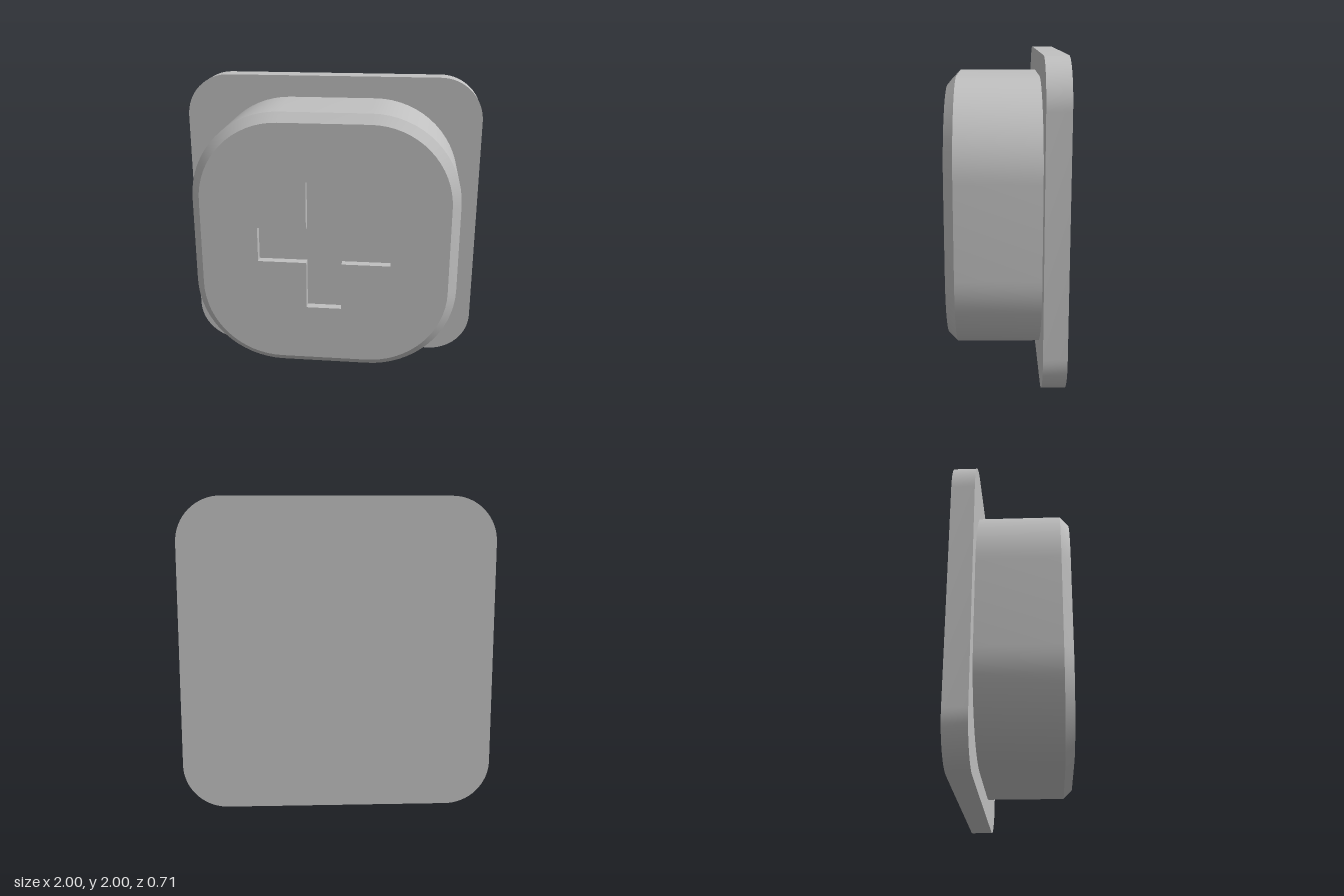
import * as THREE from 'three';
import { toCreasedNormals } from 'three/addons/utils/BufferGeometryUtils.js';

// Counter-clockwise rounded square outline
function roundedSquare(half, radius, steps = 16) {
  const pts = [];
  const c = half - radius;
  for (let k = 0; k < 4; k++) {
    const mid = (k + 0.5) * Math.PI / 2;
    const cx = Math.sign(Math.cos(mid)) * c, cy = Math.sign(Math.sin(mid)) * c;
    for (let i = 0; i <= steps; i++) {
      const a = (k + i / steps) * Math.PI / 2;
      pts.push(new THREE.Vector2(cx + radius * Math.cos(a), cy + radius * Math.sin(a)));
    }
  }
  return pts;
}

// Counter-clockwise cross outline
function cross(l, w) {
  return [[l, -w], [l, w], [w, w], [w, l], [-w, l], [-w, w], [-l, w], [-l, -w],
    [-w, -w], [-w, -l], [w, -l], [w, -w]].map(([x, y]) => new THREE.Vector2(x, y));
}

// Walls joining a list of [outline, z] sections
function loft(sections) {
  const pos = [];
  for (let s = 0; s < sections.length - 1; s++) {
    const [p, z0] = sections[s], [q, z1] = sections[s + 1];
    for (let i = 0; i < p.length; i++) {
      const j = (i + 1) % p.length;
      const a = [p[i].x, p[i].y, z0], b = [p[j].x, p[j].y, z0];
      const c = [q[j].x, q[j].y, z1], d = [q[i].x, q[i].y, z1];
      pos.push(...a, ...b, ...c, ...a, ...c, ...d);
    }
  }
  const g = new THREE.BufferGeometry();
  g.setAttribute('position', new THREE.Float32BufferAttribute(pos, 3));
  return toCreasedNormals(g, 0.5);
}

export function createModel() {
  const group = new THREE.Group();
  const grey = new THREE.MeshStandardMaterial({ color: 0xc0c0c0 });
  grey.name = 'grey';

  const add = (name, geometry, z = 0) => {
    const mesh = new THREE.Mesh(geometry, grey);
    mesh.name = name;
    mesh.position.set(0, 1, z);
    group.add(mesh);
  };

  const back = -0.357, plateFront = -0.214, front = 0.357, bevel = 0.057;

  // Flange plate at the back
  const plate = new THREE.ExtrudeGeometry(new THREE.Shape(roundedSquare(1, 0.286)),
    { depth: plateFront - back, bevelEnabled: false });
  add('backPlate', toCreasedNormals(plate, 0.5), back);

  // Plug walls with a chamfered front rim
  const outer = roundedSquare(0.857, 0.571);
  const inner = roundedSquare(0.857 - bevel, 0.571 - bevel);
  add('plugWall', loft([[outer, plateFront], [outer, front - bevel], [inner, front]]));

  // Front face with a cross-shaped opening
  const plus = cross(0.43, 0.114);
  const face = new THREE.Shape(inner);
  face.holes.push(new THREE.Path(plus));
  add('frontFace', new THREE.ShapeGeometry(face), front);

  // Cross recess walls and floor
  const floor = front - 0.057;
  add('crossRecessWall', loft([[plus, front], [plus, floor]]));
  add('crossRecessFloor', new THREE.ShapeGeometry(new THREE.Shape(plus)), floor);

  return group;
}
